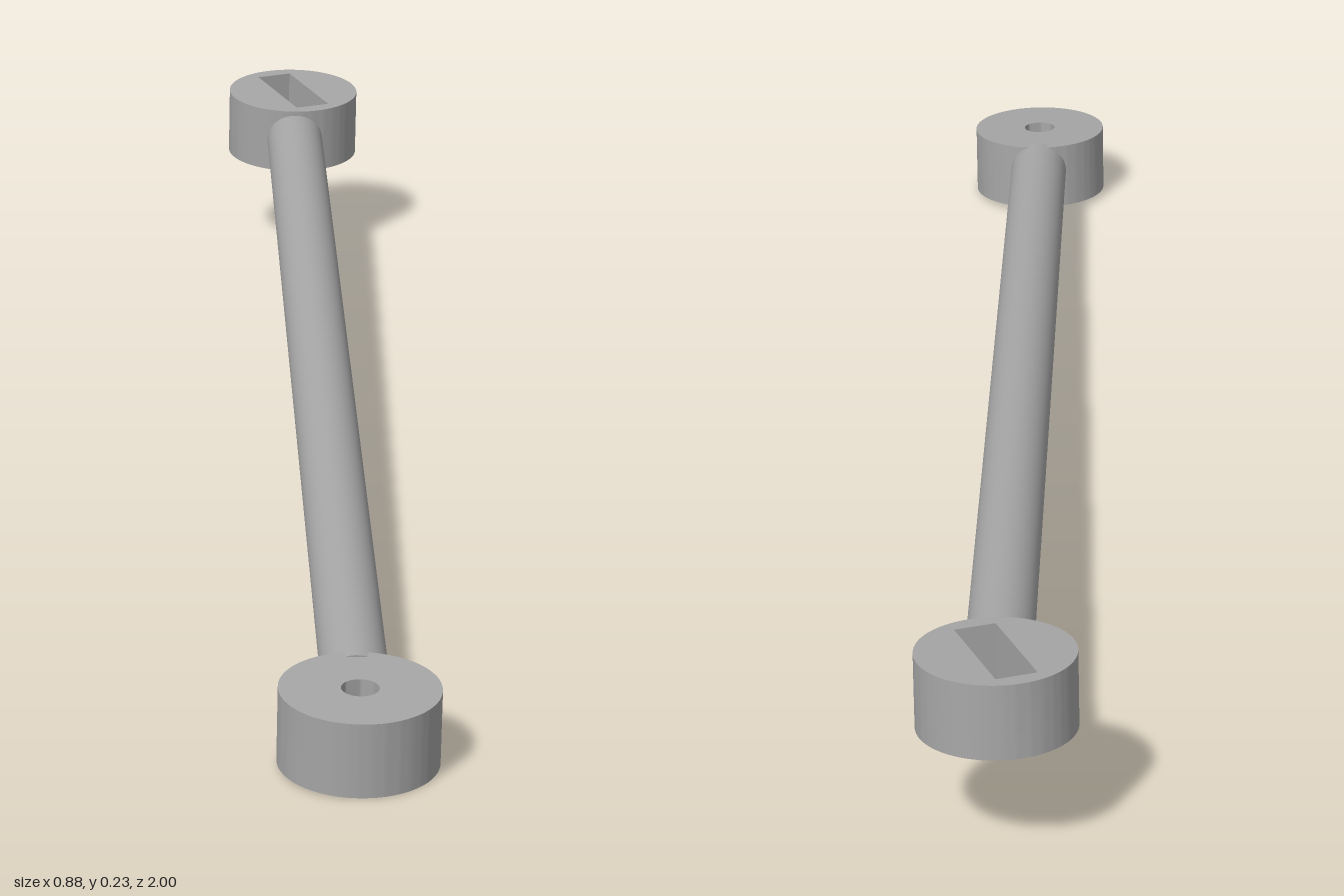
import * as THREE from 'three';
import { toCreasedNormals } from 'three/addons/utils/BufferGeometryUtils.js';

const RADIUS = 0.0935, HEIGHT = 0.092, TILT = 0.053;

export function createModel() {
  const model = new THREE.Group();
  model.name = 'linkRod';
  const grey = new THREE.MeshStandardMaterial({ color: 0xa6a6a6 });
  grey.name = 'grey metal';

  // Short upright drum with a hole through it, leaning slightly forward
  function addBoss(name, position, hole) {
    const shape = new THREE.Shape();
    shape.absarc(0, 0, RADIUS, 0, Math.PI * 2, false);
    shape.holes.push(hole);
    const geometry = new THREE.ExtrudeGeometry(shape, { depth: HEIGHT, bevelEnabled: false, curveSegments: 48 });
    geometry.translate(0, 0, -HEIGHT / 2);
    geometry.rotateX(-Math.PI / 2);
    const boss = new THREE.Mesh(toCreasedNormals(geometry, 0.6), grey);
    boss.name = name;
    boss.position.copy(position);
    boss.rotation.x = TILT;
    model.add(boss);
  }

  const front = new THREE.Vector3(-0.348, 0.051, 0.904);
  const back = new THREE.Vector3(0.348, 0.18, -0.904);

  // Front boss with a round pin hole
  const pinHole = new THREE.Path();
  pinHole.absarc(0, 0, 0.022, 0, Math.PI * 2, true);
  addBoss('frontBoss', front, pinHole);

  // Back boss with a long slot
  const w = 0.025, l = 0.072;
  const slot = new THREE.Path([[-w, -l], [-w, l], [w, l], [w, -l]].map(([x, y]) => new THREE.Vector2(x, y)));
  slot.closePath();
  addBoss('backBoss', back, slot);

  // Round rod, stopping inside the boss walls so both holes stay clear
  const start = front.clone().setY(0.058), end = back.clone().setY(0.181);
  const direction = end.clone().sub(start).normalize();
  start.addScaledVector(direction, 0.081);
  end.addScaledVector(direction, -0.081);
  const rod = new THREE.Mesh(new THREE.CylinderGeometry(0.04, 0.04, start.distanceTo(end), 48), grey);
  rod.name = 'rod';
  rod.position.copy(start).add(end).multiplyScalar(0.5);
  rod.quaternion.setFromUnitVectors(new THREE.Vector3(0, 1, 0), direction);
  model.add(rod);

  return model;
}
